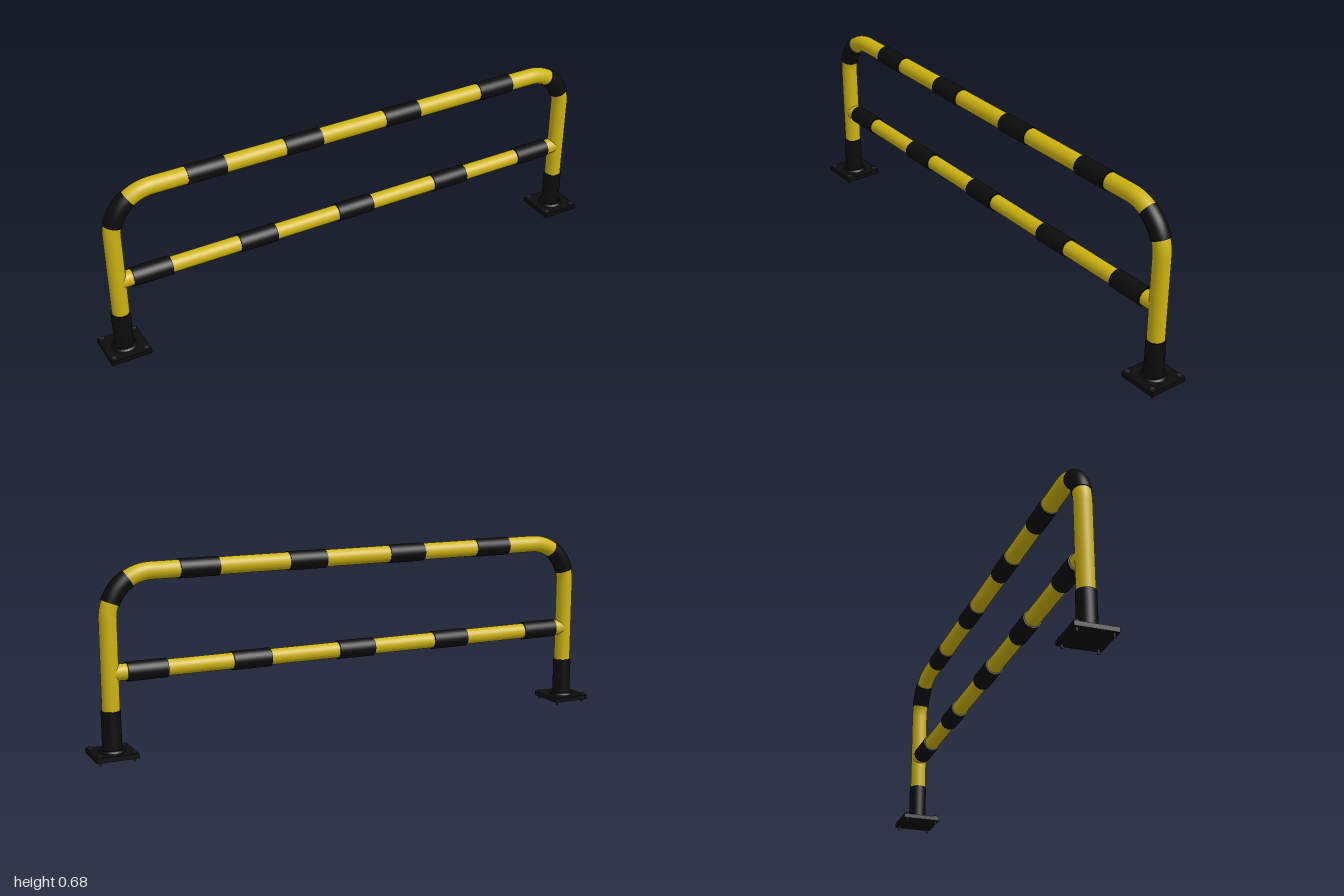
import * as THREE from 'three';

const yellow = new THREE.MeshStandardMaterial({ color: 0xccb210 });
const black = new THREE.MeshStandardMaterial({ color: 0x0c0c0c });
const steel = new THREE.MeshStandardMaterial({ color: 0x2c2c2c });

const LEG_X = 0.925, TOP_Y = 0.645, RAIL_Y = 0.304, BEND = 0.155;
const PIPE = 0.031, SLEEVE = 0.034;

function add(parent, name, geometry, material, x = 0, y = 0, z = 0) {
  const mesh = new THREE.Mesh(geometry, material);
  mesh.name = name;
  mesh.position.set(x, y, z);
  parent.add(mesh);
  return mesh;
}

// Upright cylinder spanning y0..y1
function upright(parent, name, radius, y0, y1, material, x = 0, z = 0, sides = 40) {
  return add(parent, name, new THREE.CylinderGeometry(radius, radius, y1 - y0, sides), material, x, (y0 + y1) / 2, z);
}

// Horizontal cylinder along x
function level(parent, name, radius, length, material, x, y) {
  const geometry = new THREE.CylinderGeometry(radius, radius, length, 40).rotateZ(Math.PI / 2);
  return add(parent, name, geometry, material, x, y);
}

// Curved pipe section between two angles (degrees above horizontal), with capped ends
function elbow(parent, name, radius, a0, a1, material, side) {
  const from = THREE.MathUtils.degToRad(side > 0 ? a0 : 180 - a1);
  const sweep = THREE.MathUtils.degToRad(a1 - a0);
  const group = new THREE.Group();
  group.name = name;
  group.position.set(side * (LEG_X - BEND), TOP_Y - BEND, 0);
  add(group, name + 'Tube', new THREE.TorusGeometry(BEND, radius, 40, 24, sweep).rotateZ(from), material);
  for (const [angle, turn] of [[from, Math.PI / 2], [from + sweep, -Math.PI / 2]]) {
    const cap = new THREE.CircleGeometry(radius, 40).rotateX(turn).translate(BEND, 0, 0).rotateZ(angle);
    add(group, name + 'Cap', cap, material);
  }
  parent.add(group);
}

// Bolt with hex head, washer and a shank through the plate
function bolt(parent, x, z, lift) {
  const group = new THREE.Group();
  group.name = 'bolt';
  group.position.set(x, lift, z);
  upright(group, 'shank', 0.004, 0.002, 0.036, steel, 0, 0, 12);
  upright(group, 'washer', 0.011, 0.033, 0.035, steel, 0, 0, 20);
  upright(group, 'hexHead', 0.0105, 0.035, 0.039, steel, 0, 0, 6);
  parent.add(group);
}

// Base plate, weld collar, foot sleeve and corner bolts
function foot(parent, side) {
  const group = new THREE.Group();
  group.name = side > 0 ? 'leftFoot' : 'rightFoot';
  group.position.x = side * 0.926;
  add(group, 'basePlate', new THREE.BoxGeometry(0.148, 0.017, 0.148), black, 0, 0.0235, 0);
  add(group, 'weldCollar', new THREE.CylinderGeometry(0.04, 0.046, 0.007, 40), black, 0, 0.0355, 0);
  upright(group, 'footSleeve', SLEEVE, 0.03, 0.175, black);
  for (const x of [-0.06, 0.06])
    for (const z of [-0.06, 0.06]) bolt(group, x, z, z < 0 ? 0.001 : -0.001);
  parent.add(group);
}

export function createModel() {
  const model = new THREE.Group();
  model.name = 'guardRail';

  // Legs, bends and feet
  for (const side of [-1, 1]) {
    foot(model, side);
    upright(model, 'leg', PIPE, 0.03, TOP_Y - BEND, yellow, side * LEG_X);
    elbow(model, 'bend', PIPE, 0, 90, yellow, side);
    const [a0, a1] = side > 0 ? [21, 58] : [16, 56];
    elbow(model, 'bendSleeve', SLEEVE, a0, a1, black, side);
  }

  // Top rail and its stripes
  level(model, 'topRail', PIPE, 2 * (LEG_X - BEND), yellow, 0, TOP_Y);
  for (const x of [-0.577, -0.207, 0.193, 0.6])
    level(model, 'topStripe', SLEEVE, 0.143, black, x, TOP_Y);

  // Middle rail and its stripes
  level(model, 'middleRail', 0.029, 2 * LEG_X, yellow, 0, RAIL_Y);
  for (const x of [-0.801, -0.396, 0, 0.412, 0.796])
    level(model, 'middleStripe', SLEEVE, 0.143, black, x, RAIL_Y);

  return model;
}
